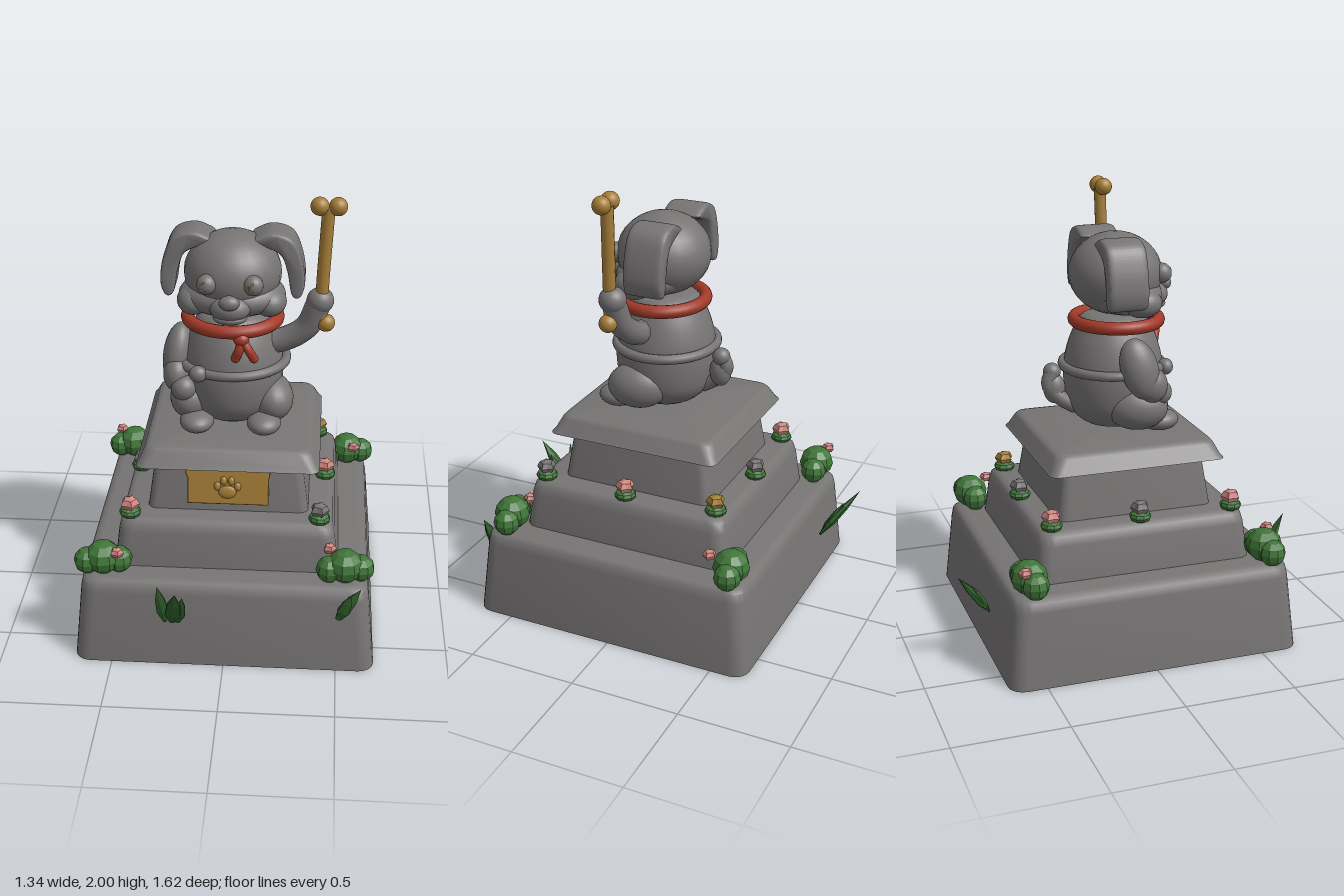
import * as THREE from 'three';
import { toCreasedNormals } from 'three/addons/utils/BufferGeometryUtils.js';

const mat = (name, color, side = THREE.FrontSide) => {
  const m = new THREE.MeshStandardMaterial({ color, side });
  m.name = name;
  return m;
};

export function createModel() {
  const root = new THREE.Group();
  root.name = 'dogStatue';
  const stone = mat('stone', 0x777474), gold = mat('gold', 0xa67e38), red = mat('red', 0xa33a28);
  const green = mat('cactusGreen', 0x3f7538), leafGreen = mat('leafGreen', 0x2f5f2b, THREE.DoubleSide);
  const pink = mat('pink', 0xd08780);
  const V = (p) => new THREE.Vector3(...p);

  const add = (name, geo, material, pos = [0, 0, 0], parent = root) => {
    const m = new THREE.Mesh(geo, material);
    m.name = name;
    m.position.set(...pos);
    parent.add(m);
    return m;
  };
  const ball = (name, pos, r, material = stone, parent = root) => {
    const m = add(name, new THREE.SphereGeometry(1, 24, 16), material, pos, parent);
    m.scale.set(...(Array.isArray(r) ? r : [r, r, r]));
    return m;
  };
  const rod = (name, pts, r, material) =>
    add(name, new THREE.TubeGeometry(new THREE.CatmullRomCurve3(pts.map(V)), 16, r, 12), material);
  const flat = (geo) => {
    const g = geo.toNonIndexed();
    g.computeVertexNormals();
    return g;
  };

  // Rounded square tier lofted through [height, half width, corner radius] rows
  function tier(name, rows) {
    const pos = [], index = [], per = 20;
    for (const [y, h, r] of rows)
      for (let c = 0; c < 4; c++)
        for (let k = 0; k < 5; k++) {
          const a = (c + k / 4) * Math.PI / 2, mid = (c + 0.5) * Math.PI / 2;
          pos.push(Math.sign(Math.cos(mid)) * (h - r) + Math.cos(a) * r, y,
            Math.sign(Math.sin(mid)) * (h - r) + Math.sin(a) * r);
        }
    const n = rows.length, bottom = n * per, top = bottom + 1, last = (n - 1) * per;
    pos.push(0, rows[0][0], 0, 0, rows[n - 1][0], 0);
    for (let i = 0; i < per; i++) {
      const j = (i + 1) % per;
      for (let k = 0; k < n - 1; k++) {
        const a = k * per, b = a + per;
        index.push(a + i, b + i, b + j, a + i, b + j, a + j);
      }
      index.push(top, last + j, last + i, bottom, i, j);
    }
    const g = new THREE.BufferGeometry();
    g.setAttribute('position', new THREE.Float32BufferAttribute(pos, 3));
    g.setIndex(index);
    add(name, toCreasedNormals(g, 0.7), stone, [0, 0, 0.01]);
  }
  tier('baseTier', [[0, 0.67, 0.07], [0.34, 0.638, 0.07], [0.38, 0.63, 0.07], [0.395, 0.615, 0.07], [0.4, 0.59, 0.06]]);
  tier('middleTier', [[0.39, 0.5, 0.06], [0.56, 0.48, 0.06], [0.6, 0.47, 0.06], [0.615, 0.455, 0.06], [0.62, 0.435, 0.05]]);
  tier('pedestal', [[0.61, 0.36, 0.04], [0.86, 0.325, 0.04]]);
  tier('pedestalCap', [[0.845, 0.405, 0.04], [0.86, 0.393, 0.04], [0.91, 0.37, 0.05], [0.922, 0.36, 0.05], [0.927, 0.34, 0.04]]);

  // Plaque with raised paw print
  const plaque = new THREE.Group();
  plaque.name = 'plaque';
  plaque.position.set(0, 0.745, 0.36);
  plaque.rotation.x = -0.14;
  root.add(plaque);
  const ps = new THREE.Shape();
  ps.moveTo(-0.17, -0.077);
  ps.lineTo(0.175, -0.077);
  ps.lineTo(0.175, 0.04);
  ps.quadraticCurveTo(0.185, 0.06, 0.175, 0.077);
  ps.quadraticCurveTo(0, 0.065, -0.175, 0.077);
  ps.quadraticCurveTo(-0.185, 0.06, -0.17, 0.04);
  add('plaquePlate', new THREE.ExtrudeGeometry(ps, { depth: 0.015, bevelSize: 0.008, bevelThickness: 0.005, bevelSegments: 2 }),
    gold, [0, 0, 0], plaque);
  ball('pawPad', [0, -0.025, 0.02], [0.04, 0.03, 0.012], gold, plaque);
  for (const [x, y] of [[-0.045, 0.002], [-0.017, 0.028], [0.017, 0.028], [0.045, 0.002]])
    ball('pawToe', [x, y, 0.02], [0.015, 0.02, 0.012], gold, plaque);

  // Torso, belt and buckle
  const body = [[0, 0.94], [0.12, 0.95], [0.2, 1.02], [0.225, 1.12], [0.225, 1.22], [0.21, 1.3], [0.18, 1.38], [0.13, 1.45], [0, 1.46]];
  add('torso', new THREE.LatheGeometry(new THREE.SplineCurve(body.map((p) => new THREE.Vector2(...p))).getPoints(30), 32),
    stone, [0, 0, 0.02]);
  const ring = (name, rx, rz, r, y, z, material) => {
    const m = add(name, new THREE.TorusGeometry(1, r / rx, 12, 40), material, [0, y, z]);
    m.rotation.x = Math.PI / 2;
    m.scale.set(rx, rz, rx);
  };
  ring('belt', 0.24, 0.225, 0.022, 1.22, 0.015, stone);
  ball('buckle', [-0.14, 1.22, 0.22], [0.04, 0.038, 0.035]);

  // Red collar with knot and tails
  ring('collar', 0.2, 0.19, 0.03, 1.425, 0.035, red);
  ball('collarKnot', [0.05, 1.395, 0.23], [0.035, 0.03, 0.03], red);
  for (const x of [0.025, 0.105]) {
    rod('collarTail', [[0.05, 1.4, 0.225], [(x + 0.06) / 2, 1.35, 0.24], [x, 1.305, 0.228]], 0.02, red);
    ball('collarTailEnd', [x, 1.305, 0.228], 0.02, red);
  }

  // Head and face
  ball('skull', [0, 1.635, 0.03], [0.215, 0.185, 0.21]);
  ball('jaw', [0, 1.545, 0.06], [0.235, 0.095, 0.175]);
  ball('muzzle', [0, 1.53, 0.2], [0.09, 0.06, 0.075]);
  ball('lip', [0, 1.488, 0.21], [0.075, 0.028, 0.055]);
  ball('nose', [0, 1.575, 0.262], [0.045, 0.033, 0.033]);
  const ear = new THREE.Shape();
  ear.moveTo(0.1, 1.785);
  ear.splineThru([[0.17, 1.81], [0.25, 1.785], [0.29, 1.7], [0.305, 1.6], [0.29, 1.54], [0.268, 1.55],
    [0.252, 1.64], [0.225, 1.72], [0.18, 1.755], [0.1, 1.785]].map((p) => new THREE.Vector2(...p)));
  const earGeo = toCreasedNormals(new THREE.ExtrudeGeometry(ear,
    { depth: 0.12, bevelSize: 0.012, bevelThickness: 0.03, bevelSegments: 3, curveSegments: 24 }), 0.8);

  // Mirrored parts
  for (const s of [-1, 1]) {
    const e = add(s < 0 ? 'rightEar' : 'leftEar', earGeo, stone, [0, 0, -0.07]);
    e.scale.x = s;
    ball('cheek', [s * 0.165, 1.525, 0.1], [0.075, 0.065, 0.09]);
    ball('eye', [s * 0.1, 1.64, 0.215], [0.043, 0.045, 0.043]);
    const iris = add('iris', new THREE.TorusGeometry(0.02, 0.004, 6, 20, Math.PI), gold, [s * 0.103, 1.64, 0.252]);
    iris.rotation.set(0, s * 0.2, Math.PI / 2);
    const thigh = ball('thigh', [s * 0.175, 1.055, 0.075], [0.1, 0.105, 0.14]);
    thigh.rotation.y = s * 0.25;
    ball('foot', [s * 0.15, 0.977, 0.19], [0.077, 0.048, 0.09]);
  }

  // Lowered arm
  const arm = ball('rightArm', [-0.245, 1.25, 0.06], [0.065, 0.14, 0.085]);
  arm.rotation.set(-0.25, 0, -0.15);
  ball('rightForearm', [-0.245, 1.17, 0.12], [0.06, 0.08, 0.07]);
  ball('rightPaw', [-0.21, 1.125, 0.165], 0.058);

  // Raised arm
  rod('leftArm', [[0.13, 1.31, 0.05], [0.23, 1.33, 0.06], [0.33, 1.4, 0.075], [0.38, 1.52, 0.09]], 0.055, stone);
  ball('leftPaw', [0.385, 1.53, 0.09], [0.06, 0.058, 0.06]);

  // Bone
  rod('boneShaft', [[0.39, 1.44, 0.1], [0.393, 1.6, 0.1], [0.41, 1.95, 0.095]], 0.028, gold);
  for (const [x, y] of [[0.372, 1.96], [0.45, 1.96], [0.412, 1.43]]) ball('boneEnd', [x, y, 0.1], 0.04, gold);

  // Tail
  rod('tail', [[0, 1.03, -0.16], [0, 1.08, -0.235], [0.015, 1.14, -0.28], [0.02, 1.2, -0.26]], 0.035, stone);
  ball('tailMiddle', [0.015, 1.12, -0.255], [0.045, 0.07, 0.05]);
  ball('tailTip', [0.025, 1.195, -0.262], 0.04);

  // Flowers and cacti
  const lump = flat(new THREE.SphereGeometry(1, 9, 6));
  const petals = flat(new THREE.SphereGeometry(1, 10, 4));
  const spots = petals.attributes.position;
  for (let i = 0; i < spots.count; i++) {
    const a = Math.atan2(spots.getZ(i), spots.getX(i));
    const k = Math.cos(a * 5) > 0 ? 1 : 0.72;
    spots.setXYZ(i, spots.getX(i) * k, spots.getY(i), spots.getZ(i) * k);
  }
  petals.computeVertexNormals();
  const flower = (p, r, material) => add('flower', petals, material, p).scale.set(r, r * 0.75, r);
  for (const [x, z, fx, fz] of [[-0.54, 0.55, 0.07, 0.045], [0.53, 0.55, -0.07, -0.055], [-0.54, -0.54, -0.07, -0.035], [0.54, -0.54, 0.03, 0.09]]) {
    for (const [dx, dz, r, h] of [[0, 0, 0.082, 0.075], [-0.07, 0.01, 0.06, 0.06], [0.07, -0.01, 0.06, 0.06]])
      add('cactusLobe', lump, green, [x + dx, 0.395 + h, z + dz]).scale.set(r, h, r);
    flower([x + fx, 0.52, z + fz], 0.032, pink);
  }
  for (const [x, z, m] of [[-0.41, -0.4, pink], [0, -0.43, stone], [0.39, -0.4, gold], [0.43, 0.02, pink],
    [0.41, 0.43, stone], [-0.43, 0.43, pink], [-0.43, 0, stone]]) {
    add('smallCactus', lump, green, [x, 0.635, z]).scale.set(0.05, 0.028, 0.05);
    flower([x, 0.675, z], 0.045, m);
  }

  // Leaf blades: flattened spindles from base to tip
  const spindle = flat(new THREE.LatheGeometry([[0.3, 0], [1, 0.3], [0.8, 0.65], [0, 1]].map((p) => new THREE.Vector2(...p)), 6));
  const blade = (from, to, w) => {
    const d = V(to).sub(V(from));
    const m = add('leafBlade', spindle, leafGreen, from);
    m.scale.set(w, d.length(), w * 0.45);
    m.quaternion.setFromUnitVectors(new THREE.Vector3(0, 1, 0), d.normalize());
  };
  blade([-0.255, 0.22, 0.67], [-0.285, 0.42, 0.7], 0.03);
  blade([-0.225, 0.22, 0.67], [-0.195, 0.455, 0.81], 0.04);
  blade([-0.2, 0.22, 0.67], [-0.17, 0.4, 0.75], 0.03);
  blade([-0.285, 0.22, -0.66], [-0.39, 0.44, -0.815], 0.04);
  blade([-0.3, 0.22, -0.66], [-0.35, 0.38, -0.75], 0.035);
  blade([0.5, 0.26, 0.66], [0.6, 0.42, 0.66], 0.03);
  blade([0.51, 0.26, 0.66], [0.56, 0.41, 0.69], 0.03);
  return root;
}
